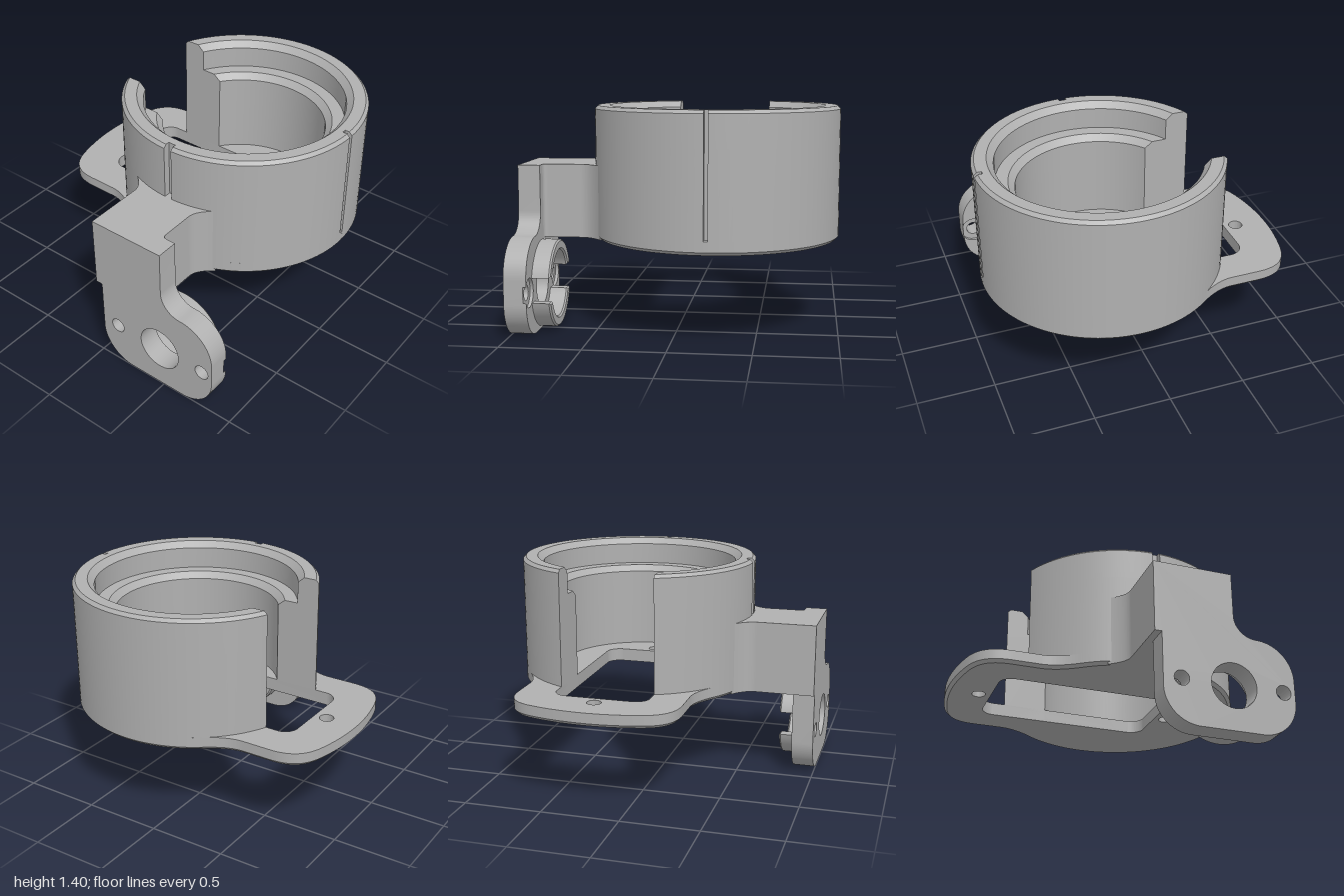
import * as THREE from 'three';
import { toCreasedNormals } from 'three/addons/utils/BufferGeometryUtils.js';

const CX = 0.19, CZ = -0.225;   // ring centre
const R = 0.775;                // ring outer radius
const SLOT = 0.305;             // half width of the slot
const FLOOR = 0.565;            // underside of the housing

const grey = new THREE.MeshStandardMaterial({ color: 0xb0b0b0 });
grey.name = 'grey';

function addMesh(parent, name, geometry) {
  const mesh = new THREE.Mesh(toCreasedNormals(geometry, 0.5), grey);
  mesh.name = name;
  parent.add(mesh);
  return mesh;
}

function extrude(shape, depth, options = {}) {
  return new THREE.ExtrudeGeometry(shape, { depth, bevelEnabled: false, curveSegments: 32, ...options });
}

function circle(x, y, r) {
  return new THREE.Path().absarc(x, y, r, 0, Math.PI * 2, false);
}

// Points along an arc about the origin
function arc(r, a, b, n) {
  return Array.from({ length: n + 1 }, (_, i) => {
    const t = a + (b - a) * i / n;
    return new THREE.Vector2(r * Math.cos(t), r * Math.sin(t));
  });
}

// Solid through stacked outlines of equal point count, capped at both ends
function loft(sections) {
  const pos = [];
  const put = (s, i) => pos.push(s.pts[i].x, s.pts[i].y, s.h);
  const n = sections[0].pts.length;
  for (let k = 0; k < sections.length - 1; k++) {
    const lo = sections[k], hi = sections[k + 1];
    for (let i = 0; i < n; i++) {
      const j = (i + 1) % n;
      put(lo, i); put(lo, j); put(hi, j);
      put(lo, i); put(hi, j); put(hi, i);
    }
  }
  const first = sections[0], last = sections[sections.length - 1];
  for (const [a, b, c] of THREE.ShapeUtils.triangulateShape(first.pts, [])) {
    put(first, a); put(first, c); put(first, b);
  }
  for (const [a, b, c] of THREE.ShapeUtils.triangulateShape(last.pts, [])) {
    put(last, a); put(last, b); put(last, c);
  }
  const g = new THREE.BufferGeometry();
  g.setAttribute('position', new THREE.Float32BufferAttribute(pos, 3));
  return g;
}

// C-shaped wall section with two outer grooves
function wallSection(h, ro, ri) {
  const endO = Math.PI - Math.asin(SLOT / ro), endI = Math.PI - Math.asin(SLOT / ri);
  const side = Math.asin(0.0125 / ro), front = Math.asin(0.025 / ro);
  const q = -Math.PI / 2;
  const groove = (a, w, r) => arc(r, a - Math.asin(w / r), a + Math.asin(w / r), 1);
  return { h, pts: [
    ...arc(ro, -endO, q - front, 24), ...groove(q, 0.025, 0.73),
    ...arc(ro, q + front, -side, 28), ...groove(0, 0.0125, 0.725),
    ...arc(ro, side, endO, 52),
    ...arc(ri, endI, -endI, 104),
  ] };
}

function ringWall() {
  return loft([
    [FLOOR, 0.755, 0.52], [0.585, R, 0.52], [1.18, R, 0.52], [1.22, R, 0.56],
    [1.221, R, 0.64], [1.36, R, 0.64], [1.38, R, 0.66], [1.4, 0.755, 0.68],
  ].map(p => wallSection(...p)));
}

// Floor plate: disc blended into a side tab, chamfered along its lower rim
function basePlate() {
  const s = new THREE.Shape();
  s.absarc(0, 0, R, -2.206, 2.206, false);
  s.quadraticCurveTo(-0.587, 0.53, -0.69, 0.53);
  s.lineTo(-0.87, 0.53);
  s.bezierCurveTo(-1.03, 0.53, -1.09, 0.45, -1.12, 0.34);
  s.quadraticCurveTo(-1.21, 0, -1.12, -0.34);
  s.bezierCurveTo(-1.09, -0.45, -1.03, -0.53, -0.87, -0.53);
  s.lineTo(-0.69, -0.53);
  s.quadraticCurveTo(-0.587, -0.53, -0.46, -0.624);

  const c = 0.09, x0 = -0.88, x1 = 0.28, P = Math.PI;
  const slot = new THREE.Path();
  slot.absarc(x1 - c, SLOT - c, c, 0, P / 2, false);
  slot.absarc(x0 + c, SLOT - c, c, P / 2, P, false);
  slot.absarc(x0 + c, c - SLOT, c, P, P * 1.5, false);
  slot.absarc(x1 - c, c - SLOT, c, P * 1.5, P * 2, false);
  slot.closePath();
  s.holes.push(slot, circle(-0.96, 0, 0.045), circle(0.36, 0, 0.045));

  const rim = s.extractPoints(32).shape, n = rim.length, t = 0.085, ch = 0.02;
  const g = extrude(s, t, { steps: 2 });
  const p = g.attributes.position;
  for (let i = 0; i < p.count; i++) {
    const z = p.getZ(i);
    if (z > t * 0.25 && z < t * 0.75) p.setZ(i, ch);
    if (z > 1e-6) continue;
    const x = p.getX(i), y = p.getY(i);
    const k = rim.findIndex(q => Math.hypot(q.x - x, q.y - y) < 1e-5);
    if (k < 0) continue;
    const d = rim[(k + 1) % n].clone().sub(rim[(k + n - 1) % n]).normalize();
    p.setXY(i, x - d.y * ch, y + d.x * ch);
  }
  return g.translate(0, 0, FLOOR);
}

// Arm from the ring wall to the mounting plate, drawn in x and -z
function arm() {
  const s = new THREE.Shape();
  s.moveTo(-0.02, -0.9);
  s.lineTo(0.43, -0.9);
  s.lineTo(0.43, -0.86);
  s.quadraticCurveTo(0.4, -0.86, 0.4, -0.83);
  s.lineTo(0.4, -0.62);
  s.quadraticCurveTo(0.4, -0.55, 0.5, -0.48);
  s.lineTo(0.38, -0.43);
  s.lineTo(0.19, -0.46);
  s.lineTo(0, -0.43);
  s.lineTo(-0.12, -0.48);
  s.quadraticCurveTo(-0.02, -0.55, -0.02, -0.62);
  s.closePath();
  return extrude(s, 1.03 - FLOOR).rotateX(-Math.PI / 2).translate(0, FLOOR, 0);
}

// Mounting plate layer; the rear layer carries the wide screw recesses
function mountLayer(recessed) {
  const P = Math.PI, s = new THREE.Shape();
  s.moveTo(0.25, 0);
  s.absarc(0.64, 0.225, 0.225, -P / 2, 0, false);
  if (recessed) s.absarc(0.79, 0.285, 0.09, -0.586, 0.586, true);
  s.absarc(0.63, 0.37, 0.235, 0, P / 2, false);
  s.absarc(0.63, 0.745, 0.14, -P / 2, -P, true);
  s.lineTo(0.49, 1.03);
  s.lineTo(-0.02, 1.03);
  s.lineTo(-0.02, FLOOR);
  s.lineTo(0.025, FLOOR);
  s.absarc(0.25, 0.225, 0.225, P, P * 1.5, false);
  s.holes.push(circle(0.47, 0.285, 0.145), circle(0.14, 0.285, recessed ? 0.09 : 0.048));
  if (!recessed) s.holes.push(circle(0.79, 0.285, 0.048));
  return recessed ? extrude(s, 0.02).translate(0, 0, 0.86) : extrude(s, 0.12).translate(0, 0, 0.88);
}

// Half of the split collar behind the mounting plate
function collarHalf() {
  const ro = 0.275, ri = 0.21, gap = 0.078;
  const a = Math.asin(gap / ro), b = Math.asin(gap / ri);
  const s = new THREE.Shape([...arc(ro, a, Math.PI - a, 40), ...arc(ri, Math.PI - b, b, 40)]);
  return extrude(s, 0.11, { bevelEnabled: true, bevelSize: 0.01, bevelThickness: 0.01, bevelOffset: -0.01, bevelSegments: 1 });
}

export function createModel() {
  const model = new THREE.Group();
  model.name = 'ringBracket';

  const housing = new THREE.Group();
  housing.name = 'ringHousing';
  housing.position.set(CX, 0, CZ);
  housing.rotation.x = -Math.PI / 2;
  addMesh(housing, 'ringWall', ringWall());
  addMesh(housing, 'basePlate', basePlate());
  model.add(housing);

  const mount = new THREE.Group();
  mount.name = 'sideMount';
  addMesh(mount, 'arm', arm());
  addMesh(mount, 'mountingPlateFront', mountLayer(false));
  addMesh(mount, 'mountingPlateRear', mountLayer(true));
  for (const [name, turn] of [['upperCollar', 0], ['lowerCollar', Math.PI]]) {
    const half = addMesh(mount, name, collarHalf());
    half.position.set(0.47, 0.285, 0.755);
    half.rotation.z = turn;
  }
  model.add(mount);
  return model;
}
